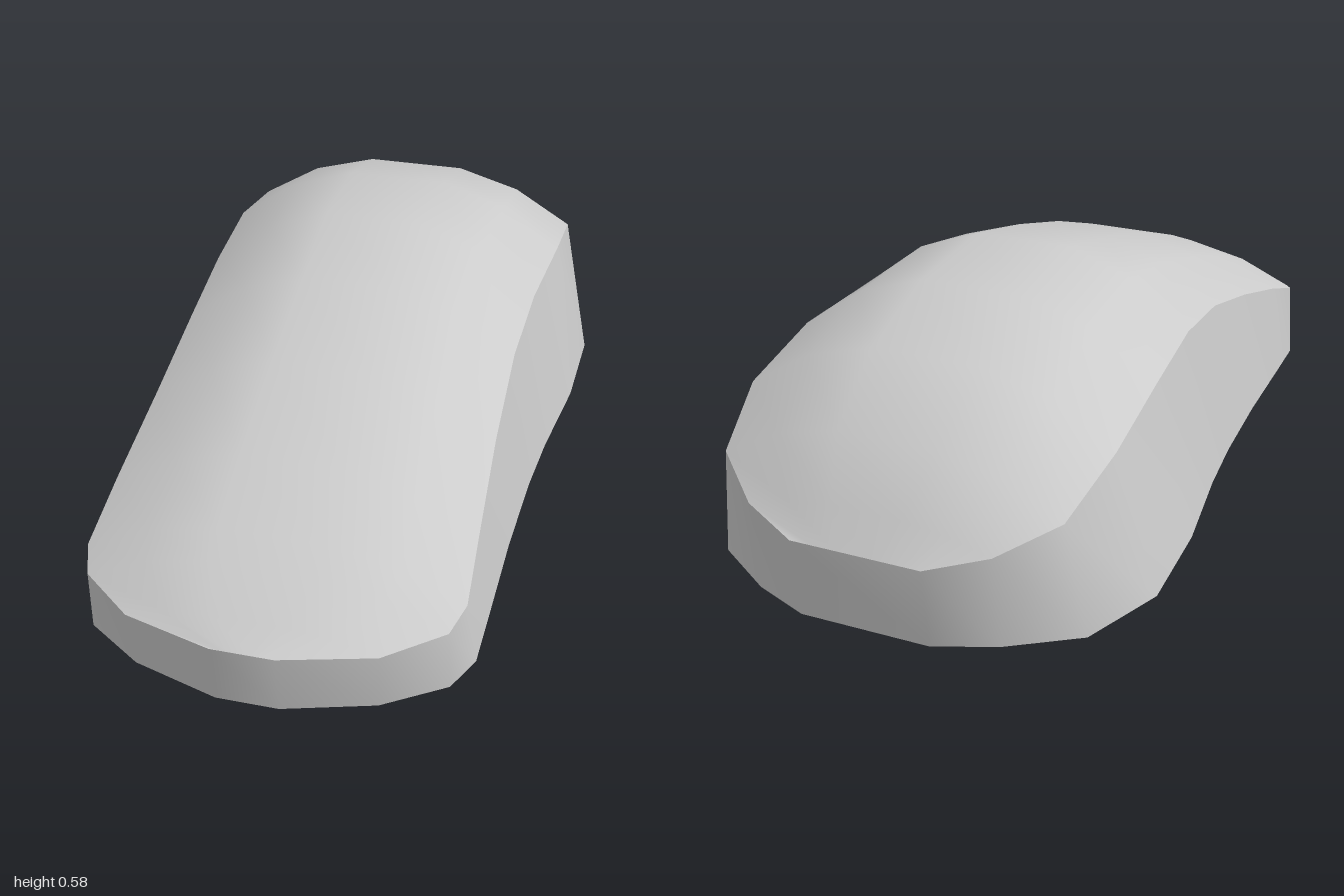
import * as THREE from 'three';

// Stations from nose to tail: rim z, rim half width, rim height, ridge height, base z, base half width
const STATIONS = [
  [1.00, 0.07, 0.155, 0.155, 0.98, 0.07],
  [0.94, 0.275, 0.152, 0.19, 0.92, 0.27],
  [0.84, 0.40, 0.157, 0.25, 0.83, 0.405],
  [0.77, 0.425, 0.18, 0.282, 0.74, 0.445],
  [0.60, 0.418, 0.24, 0.355, 0.60, 0.447],
  [0.35, 0.408, 0.315, 0.445, 0.33, 0.45],
  [0.09, 0.405, 0.383, 0.522, 0.08, 0.46],
  [-0.15, 0.415, 0.412, 0.578, -0.10, 0.475],
  [-0.43, 0.435, 0.403, 0.56, -0.36, 0.508],
  [-0.67, 0.435, 0.355, 0.492, -0.62, 0.515],
  [-0.85, 0.395, 0.275, 0.38, -0.82, 0.435],
  [-0.945, 0.28, 0.222, 0.262, -0.92, 0.285],
  [-1.00, 0.15, 0.193, 0.193, -0.975, 0.15],
];

// Crown of each section: share of the half width, share of the rise from rim to ridge
const CROWN = [[-1, 0], [-0.66, 0.66], [-0.29, 1], [0.29, 1], [0.66, 0.66], [1, 0]];

// Smooth surface through rows of points; closed joins the end of each row to its start
function skin(name, rows, closed = false) {
  const n = rows[0].length;
  const index = [];
  for (let i = 0; i < rows.length - 1; i++) {
    for (let j = 0; j < (closed ? n : n - 1); j++) {
      const k = (j + 1) % n;
      const a = i * n + j, b = i * n + k, c = a + n, d = b + n;
      index.push(a, b, c, b, d, c);
    }
  }
  const geometry = new THREE.BufferGeometry();
  geometry.setAttribute('position', new THREE.Float32BufferAttribute(rows.flat(2), 3));
  geometry.setIndex(index);
  geometry.computeVertexNormals();
  const mesh = new THREE.Mesh(geometry, new THREE.MeshStandardMaterial({ color: 0xcccccc }));
  mesh.name = name;
  return mesh;
}

// Left side nose to tail, then the mirrored right side back to the nose
function loop(points) {
  return [...points, ...points.map(([x, y, z]) => [-x, y, z]).reverse()];
}

export function createModel() {
  const group = new THREE.Group();
  group.name = 'computerMouse';

  // Arched top
  group.add(skin('topShell', STATIONS.map(([z, w, rim, ridge]) =>
    CROWN.map(([u, v]) => [u * w, rim + (ridge - rim) * v, z]))));

  // Side wall from the base outline up to the rim
  const base = loop(STATIONS.map((s) => [s[5], 0, s[4]]));
  const rim = loop(STATIONS.map((s) => [s[1], s[2], s[0]]));
  group.add(skin('sideWall', [base, rim], true));

  // Flat underside
  group.add(skin('underside', STATIONS.map((s) => [[s[5], 0, s[4]], [-s[5], 0, s[4]]])));

  return group;
}
